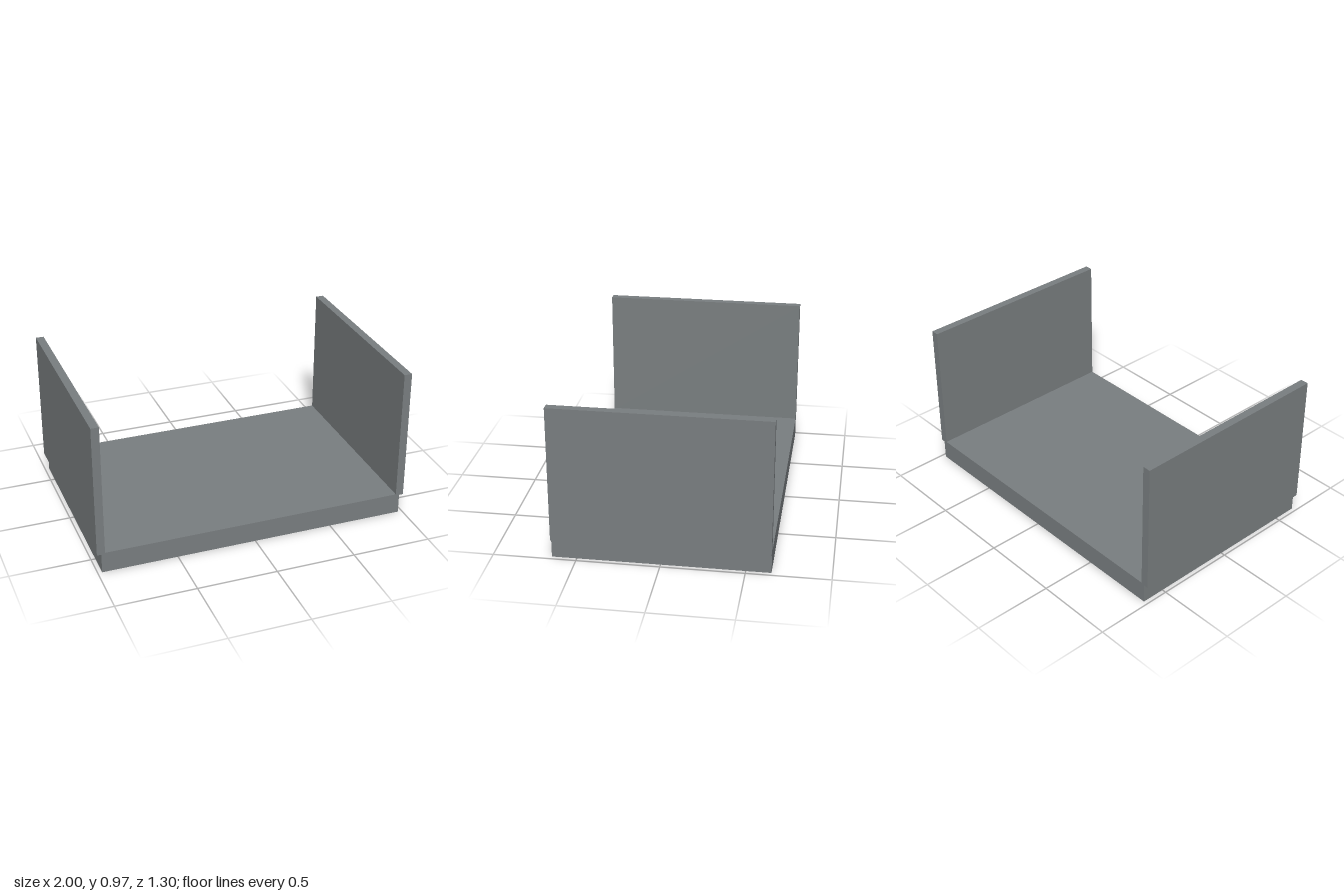
import * as THREE from 'three';

const DEPTH = 1.3;

export function createModel() {
  const group = new THREE.Group();
  const material = new THREE.MeshStandardMaterial({ color: 0x797e80, flatShading: true });

  // Box placed by its x and y limits, running the full depth
  const addSlab = (name, x0, x1, y0, y1) => {
    const mesh = new THREE.Mesh(new THREE.BoxGeometry(x1 - x0, y1 - y0, DEPTH), material);
    mesh.position.set((x0 + x1) / 2, (y0 + y1) / 2, 0);
    mesh.name = name;
    group.add(mesh);
  };

  // Floor slab, slightly inset from the outer faces of the walls
  addSlab('base', -0.973, 0.973, 0, 0.132);

  // Upright side walls, sunk slightly into the base and overhanging it
  addSlab('leftWall', 0.95, 1, 0.124, 0.967);
  addSlab('rightWall', -1, -0.95, 0.124, 0.967);

  return group;
}
